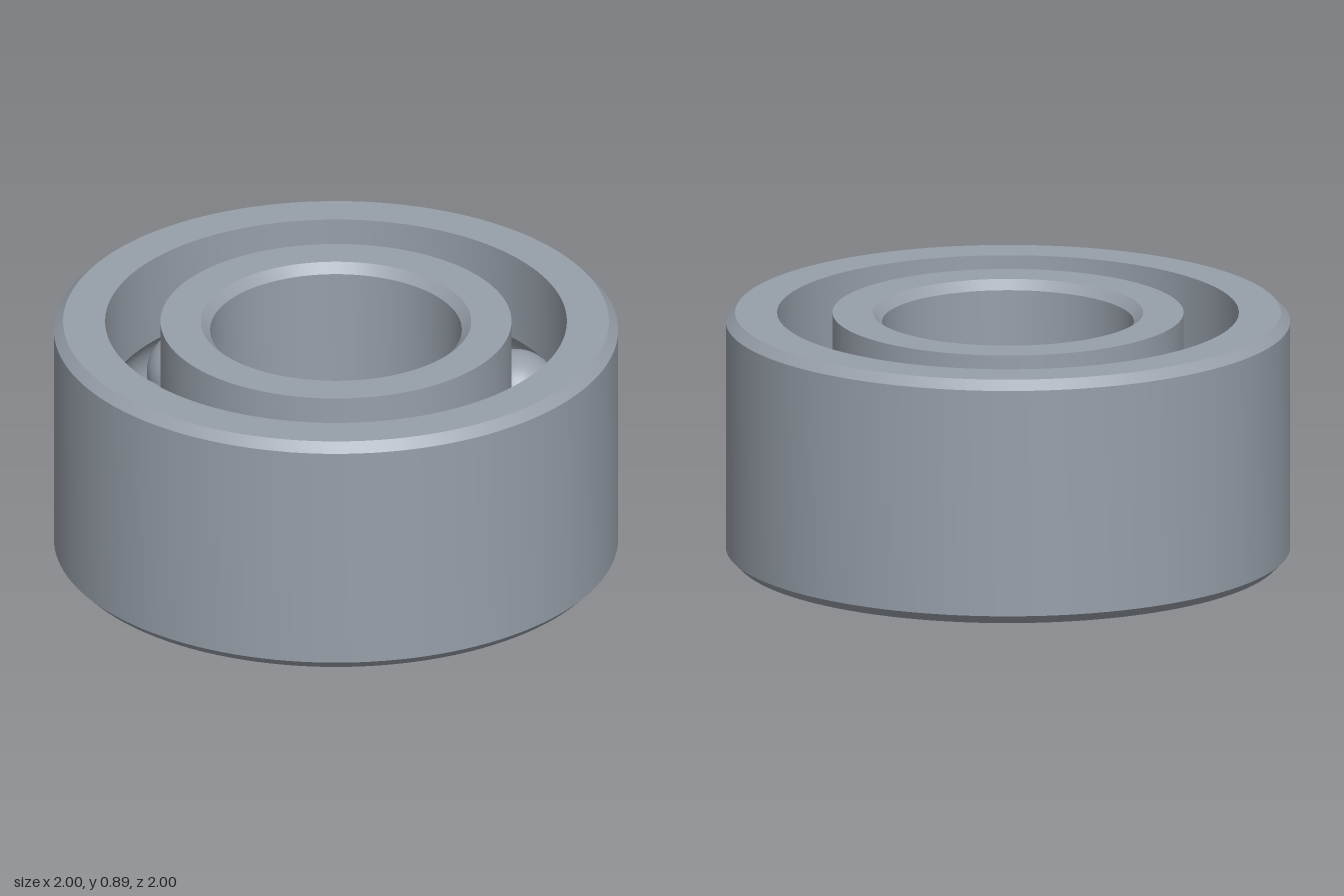
import * as THREE from 'three';
import { toCreasedNormals } from 'three/addons/utils/BufferGeometryUtils.js';

const HEIGHT = 0.89, MID = HEIGHT / 2, CHAMFER = 0.033;
const PITCH = 0.72, BALL = 0.154, GROOVE = 0.156, BALLS = 10;
const INNER_FACE = 0.622, OUTER_FACE = 0.818;

// Arc of the ball groove cut into a raceway at radius r, from angle a to b
function groove(r, upward) {
  const reach = r - PITCH;
  const half = Math.acos(Math.abs(reach) / GROOVE);
  const pts = [];
  for (let i = 0; i <= 14; i++) {
    const t = (upward ? 1 : -1) * (-half + (2 * half * i) / 14);
    pts.push([PITCH + Math.sign(reach) * GROOVE * Math.cos(t), MID + GROOVE * Math.sin(t)]);
  }
  return pts;
}

// Closed counter-clockwise profile revolved around y, with sharp edges kept
function ring(name, profile, material) {
  const pts = [...profile, profile[0]].map(([r, y]) => new THREE.Vector2(r, y));
  const geometry = toCreasedNormals(new THREE.LatheGeometry(pts, 128), 0.5);
  const mesh = new THREE.Mesh(geometry, material);
  mesh.name = name;
  return mesh;
}

export function createModel() {
  const model = new THREE.Group();
  model.name = 'ballBearing';
  const steel = new THREE.MeshStandardMaterial({ color: 0x979fa9 });
  steel.name = 'steel grey';

  // Outer ring: chamfered outside, grooved inside
  model.add(ring('outerRing', [
    [OUTER_FACE, 0], [1 - CHAMFER, 0], [1, CHAMFER],
    [1, HEIGHT - CHAMFER], [1 - CHAMFER, HEIGHT], [OUTER_FACE, HEIGHT],
    ...groove(OUTER_FACE, false),
  ], steel));

  // Inner ring: chamfered bore, grooved outside
  const bore = 0.446;
  model.add(ring('innerRing', [
    [bore + CHAMFER, 0], [INNER_FACE, 0],
    ...groove(INNER_FACE, true),
    [INNER_FACE, HEIGHT], [bore + CHAMFER, HEIGHT],
    [bore, HEIGHT - CHAMFER], [bore, CHAMFER],
  ], steel));

  // Balls evenly spaced in the raceway
  const balls = new THREE.Group();
  balls.name = 'balls';
  const ballGeometry = new THREE.SphereGeometry(BALL, 48, 32);
  for (let i = 0; i < BALLS; i++) {
    const a = THREE.MathUtils.degToRad(30) + (i * Math.PI * 2) / BALLS;
    const ball = new THREE.Mesh(ballGeometry, steel);
    ball.name = 'ball';
    ball.position.set(PITCH * Math.sin(a), MID, -PITCH * Math.cos(a));
    balls.add(ball);
  }
  model.add(balls);
  return model;
}
